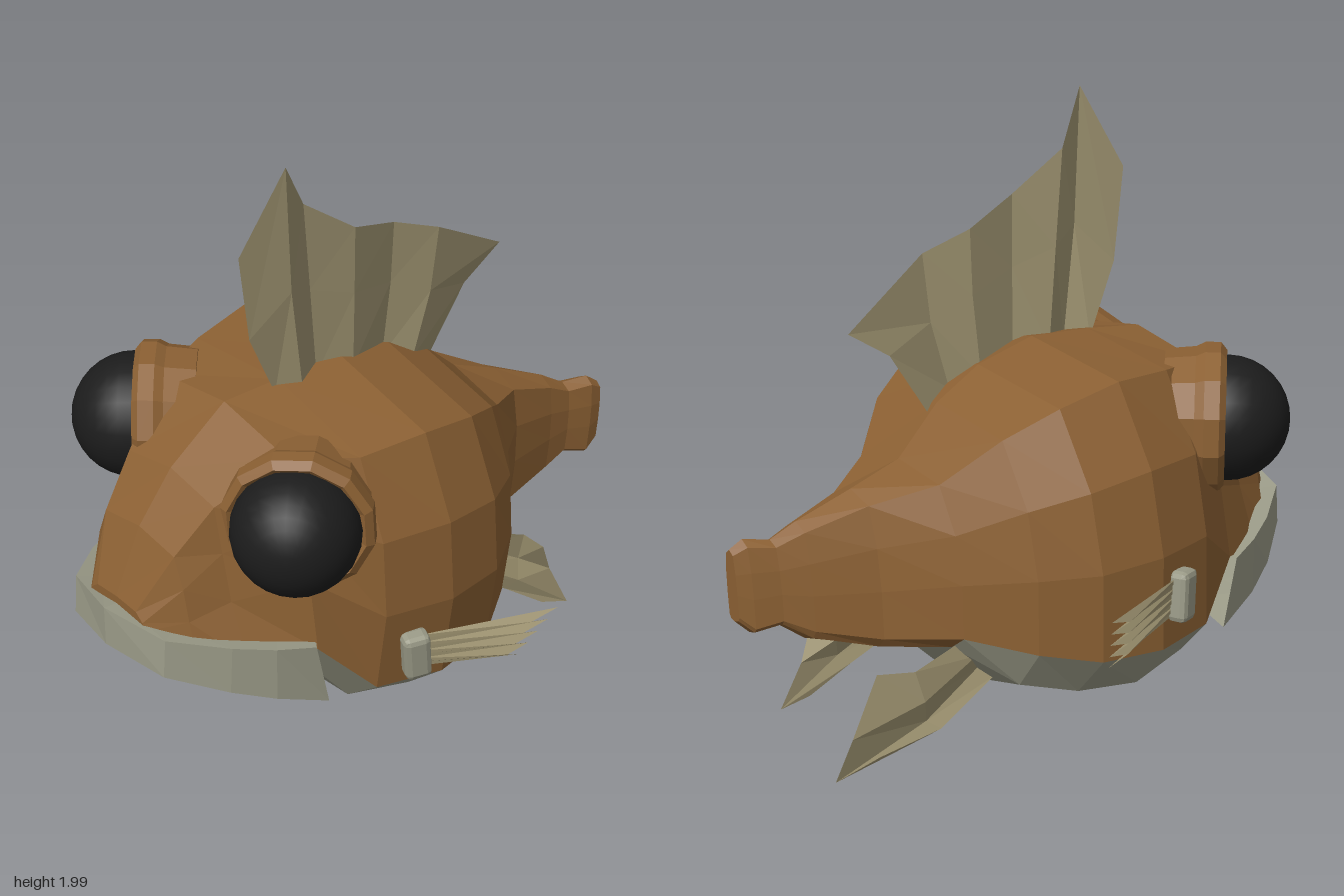
import * as THREE from 'three';
import { RoundedBoxGeometry } from 'three/addons/geometries/RoundedBoxGeometry.js';

const mat = (name, color, side = THREE.FrontSide) => {
  const m = new THREE.MeshStandardMaterial({ color, side });
  m.name = name;
  return m;
};

// Faceted normals
function facet(g) {
  const f = g.index ? g.toNonIndexed() : g;
  f.computeVertexNormals();
  return f;
}

// Faceted geometry from a list of triangles
function fromTriangles(tris) {
  const g = new THREE.BufferGeometry();
  g.setAttribute('position', new THREE.Float32BufferAttribute(tris.flat(2), 3));
  g.computeVertexNormals();
  return g;
}

// Skin between neighbouring columns of points; keep(i, j) selects quads
function skin(cols, keep = () => true) {
  const tris = [];
  for (let i = 0; i < cols.length - 1; i++) {
    for (let j = 0; j < cols[i].length - 1; j++) {
      if (!keep(i, j)) continue;
      const a = cols[i][j], b = cols[i][j + 1], c = cols[i + 1][j + 1], d = cols[i + 1][j];
      tris.push([a, b, c], [a, c, d]);
    }
  }
  return tris;
}

// Body sections: z, centre x, half width, top, belly line, bottom, pinch at the eyes
const SECTIONS = [
  [0.95, 0, 0.14, 0.64, 0.55, 0.52, 0],
  [0.85, 0, 0.28, 0.86, 0.50, 0.46, 0.6],
  [0.72, 0, 0.38, 1.02, 0.48, 0.42, 1],
  [0.52, 0, 0.48, 1.19, 0.50, 0.36, 0.5],
  [0.33, 0, 0.57, 1.21, 0.32, 0.13, 0],
  [0.10, 0, 0.63, 1.23, 0.31, 0.075, 0],
  [-0.12, 0, 0.60, 1.18, 0.32, 0.11, 0],
  [-0.29, 0, 0.49, 1.09, 0.36, 0.16, 0],
  [-0.45, 0, 0.31, 0.94, 0.41, 0.34, 0],
  [-0.62, 0.03, 0.14, 0.87, 0.40, 0.35, 0],
  [-0.80, 0.08, 0.075, 0.79, 0.44, 0.40, 0],
  [-0.88, 0.11, 0.05, 0.74, 0.48, 0.46, 0],
  [-0.96, 0.145, 0.045, 0.75, 0.46, 0.44, 0],
  [-1.0, 0.16, 0.03, 0.72, 0.50, 0.48, 0],
];

// One closed ring, with the whole trunk rolled slightly to one side
function ring([z, cx, w, top, line, bottom, pinch]) {
  const h = top - line;
  const half = [
    [0, top], [0.7 * w * (1 - 0.2 * pinch), top - 0.075 * h],
    [0.93 * w * (1 - 0.3 * pinch), top - 0.36 * h], [w * (1 - 0.25 * pinch), top - 0.66 * h],
    [0.97 * w, line], [0.74 * w, line - 0.65 * (line - bottom)], [0, bottom],
  ];
  const other = half.slice(0, -1).reverse().map(([x, y]) => [-x, y]);
  const roll = -0.085 * THREE.MathUtils.clamp((0.65 - z) / 0.3, 0, 1);
  const c = Math.cos(roll), s = Math.sin(roll);
  return [...half, ...other].map(([x, y]) => [
    cx + x * c - (y - 0.6) * s, 0.6 + x * s + (y - 0.6) * c, z,
  ]);
}

export function createModel() {
  const model = new THREE.Group();
  model.name = 'fish';
  const brown = mat('brown skin', 0x8b6033);
  const grey = mat('grey belly', 0x9a9a87, THREE.DoubleSide);
  const khaki = mat('khaki fin', 0xa09572, THREE.DoubleSide);
  const black = mat('black eye', 0x1c1c1c);

  const add = (name, geometry, material, parent = model) => {
    const mesh = new THREE.Mesh(geometry, material);
    mesh.name = name;
    parent.add(mesh);
    return mesh;
  };

  // Trunk and tail, with the belly as separate faces
  const rings = SECTIONS.map(ring);
  const isBelly = (i, j) => i >= 3 && i <= 7 && j >= 4 && j <= 7;
  const trunk = skin(rings, (i, j) => !isBelly(i, j));
  const cap = (r, flip) => {
    const mid = [0, 1, 2].map((k) => (r[0][k] + r[6][k]) / 2);
    for (let j = 0; j < r.length - 1; j++) {
      trunk.push(flip ? [mid, r[j + 1], r[j]] : [mid, r[j], r[j + 1]]);
    }
  };
  cap(rings[0], true);
  cap(rings[rings.length - 1], false);
  add('body', fromTriangles(trunk), brown);
  add('belly', fromTriangles(skin(rings, isBelly)), grey);

  // Lip and lower jaw: x, top y, top z, bottom y, bottom z
  const lipHalf = [
    [0, 0.62, 1.0, 0.48, 1.0], [0.23, 0.59, 0.94, 0.455, 0.95],
    [0.36, 0.555, 0.78, 0.39, 0.79], [0.43, 0.53, 0.66, 0.34, 0.66], [0.48, 0.51, 0.54, 0.275, 0.49],
  ];
  const lip = [...lipHalf.slice(1).reverse().map(([x, ...r]) => [-x, ...r]), ...lipHalf];
  add('jaw', fromTriangles(skin(lip.map(([x, ty, tz, by, bz]) => [
    [x * 0.8, ty - 0.01, tz - 0.07], [x, ty, tz], [x, by, bz],
    [x * 0.75, by * 0.3 + 0.205, bz * 0.55 + 0.24], [x * 0.55, 0.275, 0.5],
  ]))), grey);

  // Eyes in shallow flared sockets
  const rimProfile = [[0, -0.17], [0.22, -0.17], [0.23, -0.07], [0.245, -0.04], [0.245, 0.01], [0.22, 0.03], [0.18, 0]]
    .map(([x, y]) => new THREE.Vector2(x, y));
  for (const [name, x, y, side] of [['left', 0.415, 0.93, 1], ['right', -0.385, 0.97, -1]]) {
    const eye = new THREE.Group();
    eye.name = name + 'Eye';
    eye.position.set(x, y, 0.565);
    eye.quaternion.setFromUnitVectors(
      new THREE.Vector3(0, 1, 0), new THREE.Vector3(0.66 * side, 0, 0.74).normalize());
    add('eyeball', new THREE.SphereGeometry(0.205, 24, 16), black, eye);
    add('eyeSocket', facet(new THREE.LatheGeometry(rimProfile, 12)), brown, eye).position.y = -0.035;
    model.add(eye);
  }

  // Dorsal fin: base, middle and tip of each ray as z, y
  const dorsal = [
    [[0.35, 1.17], [0.46, 1.41], [0.51, 1.72]],
    [[0.27, 1.17], [0.33, 1.55], [0.37, 2.0]],
    [[0.18, 1.17], [0.22, 1.5], [0.26, 1.82]],
    [[0.06, 1.17], [0.07, 1.45], [0.08, 1.69]],
    [[-0.10, 1.13], [-0.12, 1.4], [-0.12, 1.62]],
    [[-0.20, 1.1], [-0.26, 1.33], [-0.28, 1.56]],
    [[-0.30, 1.03], [-0.45, 1.27], [-0.60, 1.37]],
  ];
  add('dorsalFin', fromTriangles(skin(dorsal.map((ray, i) => ray.map(([z, y]) => [
    0.085 + (y - 1.2) * 0.06 + (i % 2 ? 0.02 : -0.02), y, z,
  ])))), khaki);

  // Pectoral fins: pleated fans held by a small pad
  for (const [name, side, x0, y0, z0] of [['left', 1, 0, 0.4, 0], ['right', -1, 0.025, 0.53, -0.05]]) {
    const fan = [];
    for (let i = 0; i < 9; i++) {
      const t = 1 - i / 4, out = i % 2 === 0;
      const reach = out ? 1 : 0.8;
      const tip = [0.75 + 0.05 * t, y0 - 0.02 + 0.105 * t, -0.165 - 0.035 * t + z0];
      const root = [0.59 + x0, y0 + 0.06 * t, 0.22 + z0];
      const end = root.map((v, k) => v + (tip[k] - v) * reach);
      if (!out) end[0] += 0.025;
      fan.push([root, end].map(([x, y, z]) => [x * side, y, z]));
    }
    add(name + 'PectoralFin', fromTriangles(skin(fan)), khaki);
    const pad = add(name + 'FinPad', facet(new RoundedBoxGeometry(0.07, 0.17, 0.09, 1, 0.02)), grey);
    pad.position.set(side * (0.6 + x0), y0, 0.23 + z0);
    pad.rotation.set(0.1, side * -0.4, -0.06);
  }

  // Pelvic fins: middle and tip of each ray as z, y
  const roots = [[-0.30, 0.25], [-0.34, 0.29], [-0.37, 0.34], [-0.39, 0.4]];
  const pelvic = {
    left: [[[-0.48, 0.14], [-0.62, 0.04]], [[-0.52, 0.17], [-0.72, 0.01]],
      [[-0.54, 0.24], [-0.65, 0.17]], [[-0.54, 0.35], [-0.59, 0.3]]],
    right: [[[-0.56, 0.17], [-0.78, 0.13]], [[-0.6, 0.2], [-0.93, 0.08]],
      [[-0.62, 0.28], [-0.88, 0.22]], [[-0.64, 0.38], [-0.77, 0.4]]],
  };
  const sway = { left: [0.24, 0.29, 0.335], right: [-0.26, -0.33, -0.31] };
  for (const name of ['left', 'right']) {
    const rays = pelvic[name].map((ray, i) => [roots[i], ...ray].map(([z, y], k) => [
      sway[name][k] + (i % 2 ? 0.012 : -0.012), y, z,
    ]));
    add(name + 'PelvicFin', fromTriangles(skin(rays)), khaki);
  }
  return model;
}
